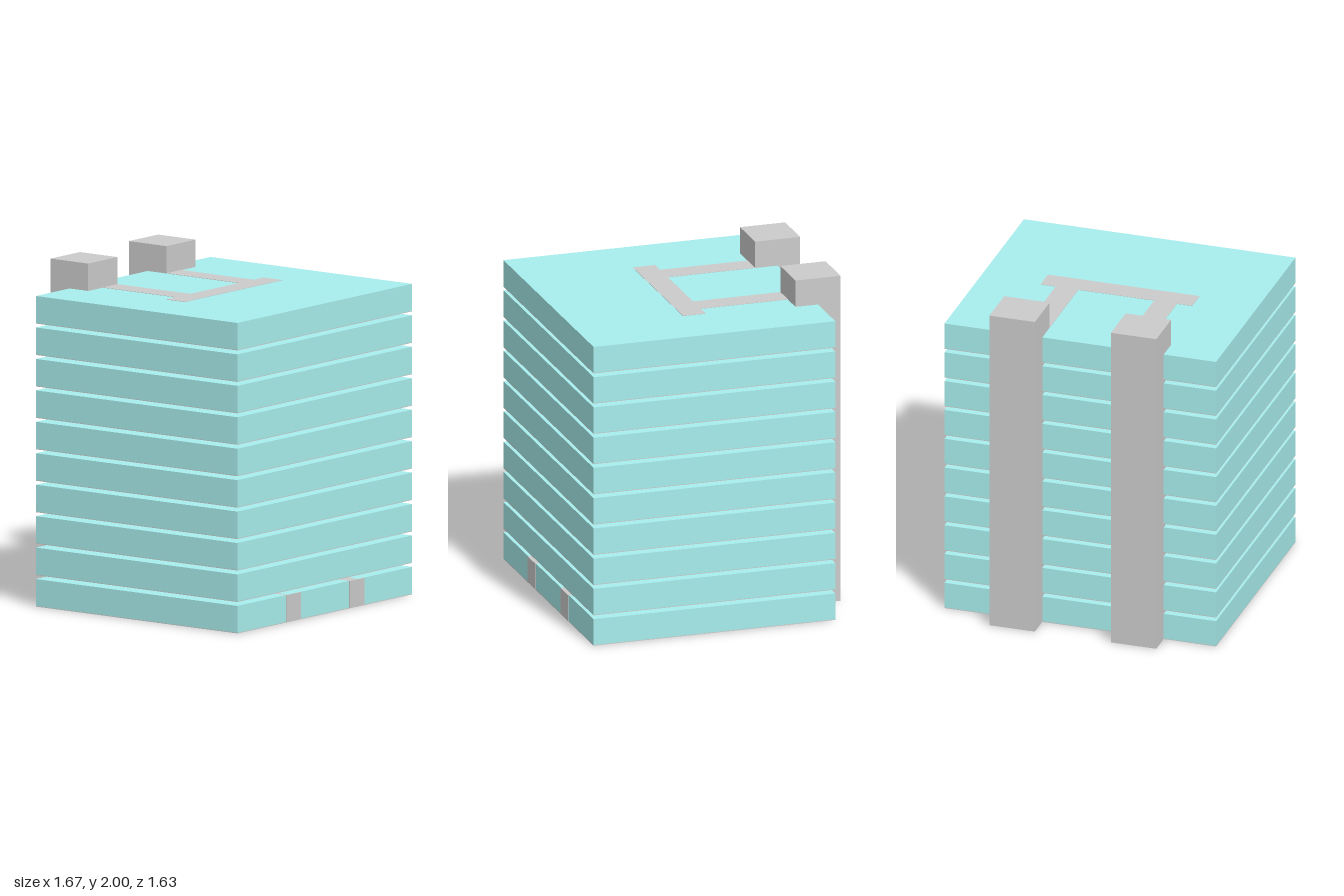
import * as THREE from 'three';

const FLOORS = 10, PITCH = 0.1861, HEIGHT = 0.163, PLATE = 0.004;
const WIDTH = 1.666, BACK = -0.675, FRONT = 0.81;

export function createModel() {
  const model = new THREE.Group();
  model.name = 'officeBlock';
  const glass = new THREE.MeshStandardMaterial({ color: 0xa8eeed });
  const hall = new THREE.MeshStandardMaterial({ color: 0xdcdada });
  const concrete = new THREE.MeshStandardMaterial({ color: 0xcccccc });

  // Box given by its limits on each axis
  const block = (name, parent, material, [x0, x1], [y0, y1], [z0, z1]) => {
    const mesh = new THREE.Mesh(new THREE.BoxGeometry(x1 - x0, y1 - y0, z1 - z0), material);
    mesh.position.set((x0 + x1) / 2, (y0 + y1) / 2, (z0 + z1) / 2);
    mesh.name = name;
    parent.add(mesh);
  };
  const mirrored = (side, a, b) => (side > 0 ? [a, b] : [-b, -a]);
  const sides = [[1, 'left'], [-1, 'right']];
  const across = [-WIDTH / 2, WIDTH / 2];

  // Separate storeys with a corridor layout flush in each ceiling
  for (let i = 0; i < FLOORS; i++) {
    const floor = new THREE.Group();
    floor.name = `floor${i + 1}`;
    floor.position.y = i * PITCH;
    block('floorPlate', floor, concrete, across, [0, PLATE], [BACK, FRONT]);
    block('rooms', floor, glass, across, [PLATE, HEIGHT], [BACK, FRONT]);
    const hallY = [PLATE, HEIGHT + 0.002];
    block('crossCorridor', floor, hall, [-0.465, 0.465], hallY, [0, 0.138]);
    for (const [side, label] of sides) {
      block(`${label}Corridor`, floor, hall, mirrored(side, 0.233, 0.372), hallY, [-0.54, 0]);
      // Ground floor entrances run out to the front wall
      if (i === 0)
        block(`${label}Entrance`, floor, hall, mirrored(side, 0.233, 0.372), [PLATE, HEIGHT], [0.138, FRONT + 0.004]);
    }
    model.add(floor);
  }

  // Full-height stair towers carrying the storeys at the back
  for (const [side, label] of sides)
    block(`${label}StairTower`, model, concrete, mirrored(side, 0.233, 0.512), [0, 2], [-0.814, -0.537]);

  return model;
}
